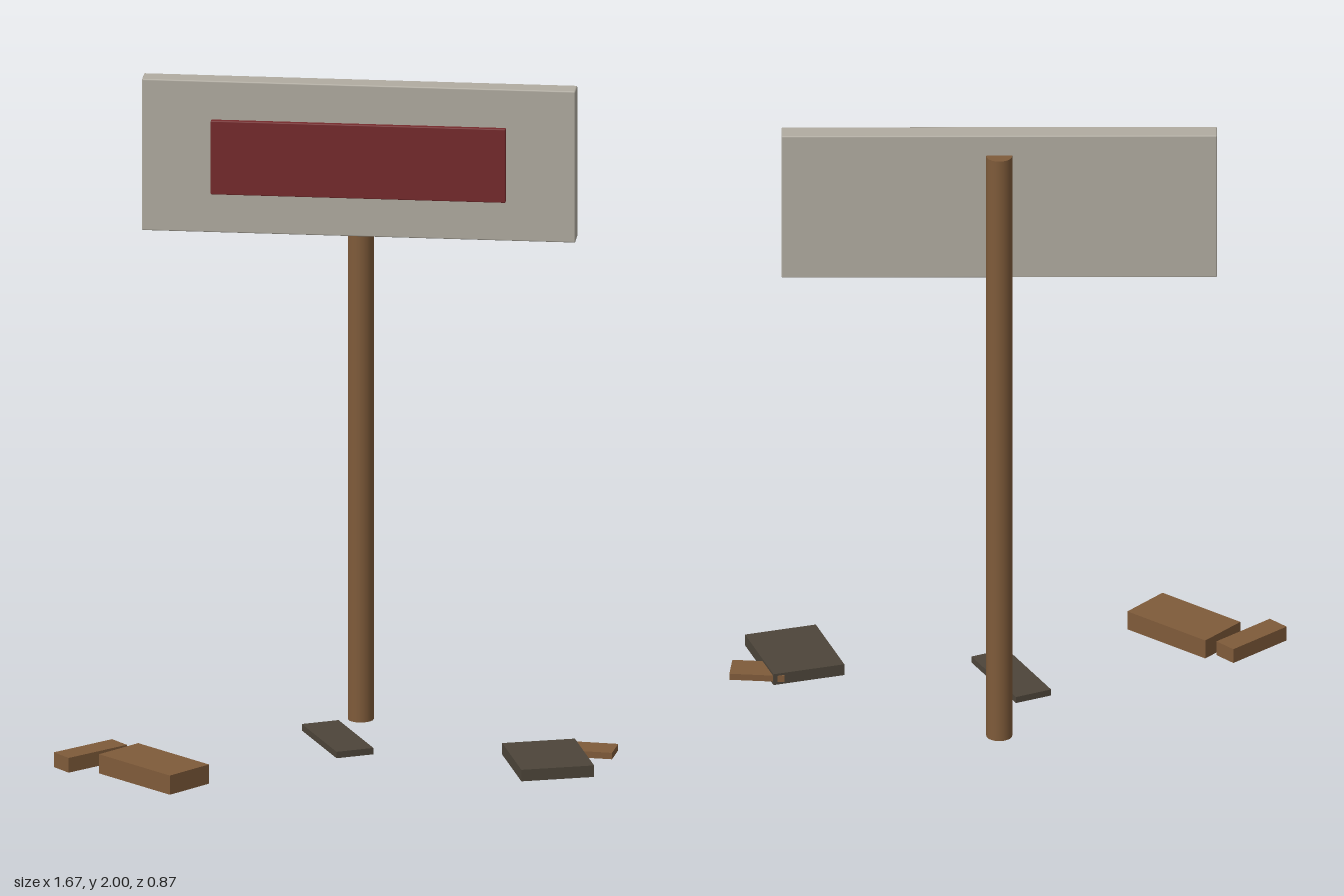
import * as THREE from 'three';
import { RoundedBoxGeometry } from 'three/addons/geometries/RoundedBoxGeometry.js';

const material = (name, color) => {
  const m = new THREE.MeshStandardMaterial({ color });
  m.name = name;
  return m;
};

export function createModel() {
  const group = new THREE.Group();
  group.name = 'signpostWithDebris';

  const wood = material('wood', 0x7f5b3a);
  const darkWood = material('darkWood', 0x4d453a);
  const stone = material('paleBoard', 0xb1aca1);
  const red = material('darkRed', 0x752a2c);

  const add = (name, geometry, mat, x, y, z, turn = 0) => {
    const mesh = new THREE.Mesh(geometry, mat);
    mesh.name = name;
    mesh.position.set(x, y, z);
    mesh.rotation.y = turn;
    group.add(mesh);
  };

  // Sign: round post, board in front of it, raised panel on the board
  const signX = 0.026;
  add('post', new THREE.CylinderGeometry(0.039, 0.039, 1.935, 20), wood, signX, 0.9675, -0.4);
  add('board', new RoundedBoxGeometry(1.302, 0.473, 0.064, 1, 0.004), stone, signX, 1.7635, -0.366);
  add('panel', new RoundedBoxGeometry(0.886, 0.23, 0.02, 1, 0.003), red, signX, 1.765, -0.328);

  // Loose pieces on the ground: name, material, size, position, turn
  const pieces = [
    ['centreSlat', darkWood, [0.117, 0.02, 0.303], [-0.011, 0.035, -0.072], 0.45],
    ['darkSlab', darkWood, [0.222, 0.036, 0.28], [0.636, 0.034, 0.074], 0.306],
    ['smallChip', wood, [0.165, 0.02, 0.094], [0.745, 0.035, -0.036], -0.1],
    ['largeBlock', wood, [0.304, 0.06, 0.163], [-0.528, 0.031, 0.272], -0.702],
    ['smallBlock', wood, [0.22, 0.046, 0.073], [-0.73, 0.033, 0.165], 0.757],
  ];
  for (const [name, mat, size, pos, turn] of pieces) {
    add(name, new THREE.BoxGeometry(...size), mat, ...pos, turn);
  }

  return group;
}
